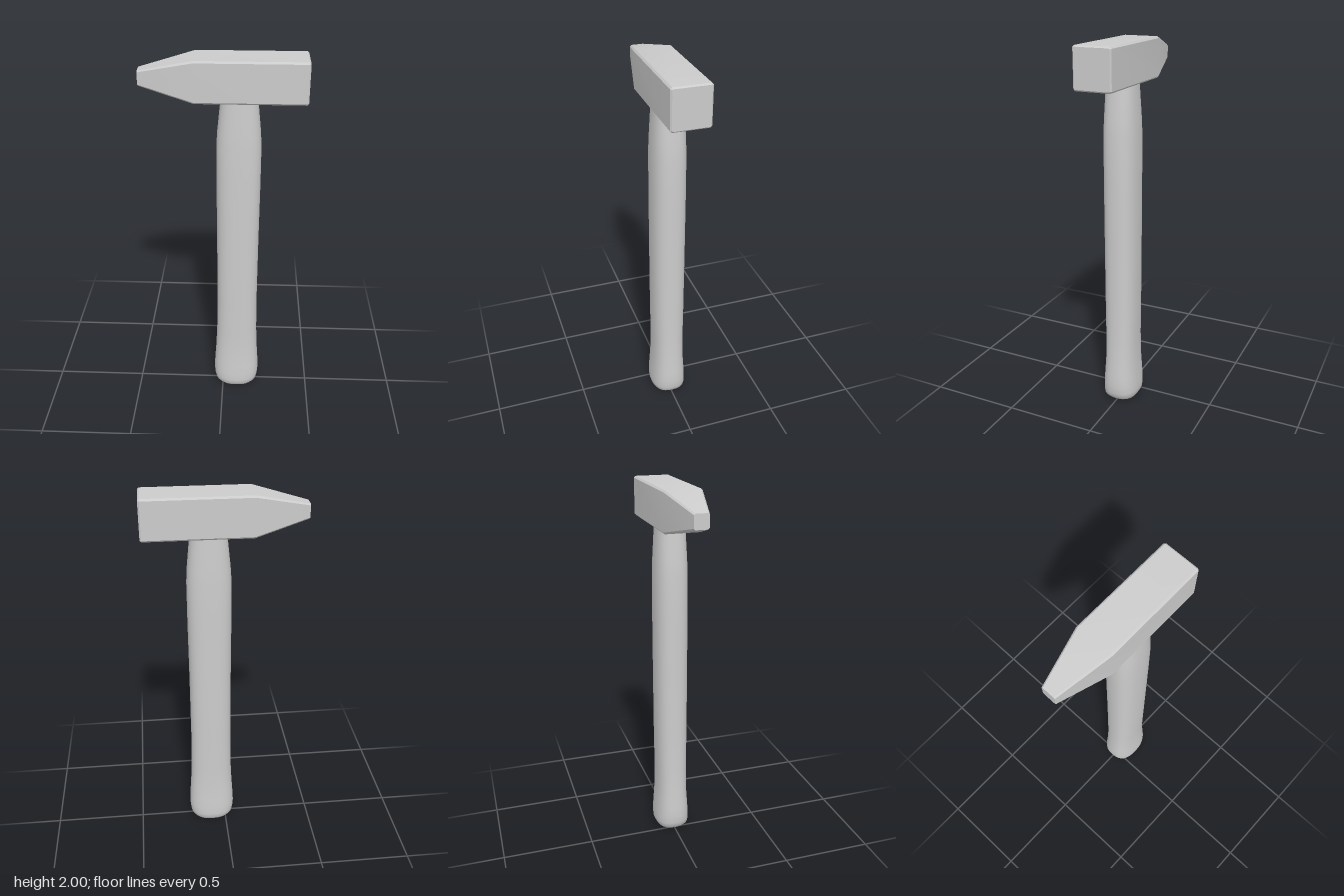
import * as THREE from 'three';
import { toCreasedNormals } from 'three/addons/utils/BufferGeometryUtils.js';

const material = new THREE.MeshStandardMaterial({ color: 0xcccccc });

// Skin a list of rings (counter-clockwise about the sweep direction) and cap both ends
function loft(rings, crease) {
  const n = rings[0].length;
  const points = rings.flat();
  const index = [];
  for (let i = 0; i < rings.length - 1; i++) {
    for (let j = 0; j < n; j++) {
      const k = (j + 1) % n;
      const a = i * n + j, b = i * n + k, c = b + n, d = a + n;
      index.push(a, b, c, a, c, d);
    }
  }
  const last = (rings.length - 1) * n;
  for (let j = 1; j < n - 1; j++) {
    index.push(0, j + 1, j, last, last + j, last + j + 1);
  }
  const geometry = new THREE.BufferGeometry().setFromPoints(points);
  geometry.setIndex(index);
  return toCreasedNormals(geometry, crease);
}

// Rectangle with chamfered corners, standing across the x axis
function headRing([x, halfY, halfZ, chamfer]) {
  const y = halfY - chamfer, z = halfZ - chamfer;
  return [
    [halfY, -z], [halfY, z], [y, halfZ], [-y, halfZ],
    [-halfY, z], [-halfY, -z], [-y, -halfZ], [y, -halfZ],
  ].map(([py, pz]) => new THREE.Vector3(x, py, pz));
}

// Squarish oval, lying across the y axis
function handleRing([y, halfX, halfZ]) {
  const sides = 32, power = 2 / 2.5;
  const bulge = (v) => Math.sign(v) * Math.abs(v) ** power;
  return Array.from({ length: sides }, (_, j) => {
    const t = (j / sides) * Math.PI * 2;
    return new THREE.Vector3(halfX * bulge(Math.sin(t)), y, halfZ * bulge(Math.cos(t)));
  });
}

export function createModel() {
  const model = new THREE.Group();
  model.name = 'hammer';

  // Head: tapered peen on -x, square striking face on +x
  const headSections = [
    // x, half height, half depth, chamfer
    [-0.415, 0.037, 0.038, 0.007],
    [-0.14, 0.105, 0.1, 0.009],
    [0.405, 0.105, 0.1, 0.009],
    [0.413, 0.098, 0.093, 0.004],
  ];
  const head = new THREE.Mesh(loft(headSections.map(headRing), 0.5), material);
  head.name = 'head';
  head.position.y = 1.895;
  model.add(head);

  // Handle: slim neck, straight grip, flared and rounded butt
  const handleSections = [
    // y, half width, half depth
    [0, 0.085, 0.072],
    [0.01, 0.1, 0.084],
    [0.03, 0.12, 0.096],
    [0.055, 0.126, 0.098],
    [0.1, 0.13, 0.096],
    [0.16, 0.127, 0.092],
    [0.25, 0.121, 0.086],
    [0.38, 0.115, 0.085],
    [0.6, 0.112, 0.088],
    [1.0, 0.113, 0.089],
    [1.3, 0.115, 0.089],
    [1.54, 0.115, 0.088],
    [1.62, 0.11, 0.085],
    [1.7, 0.102, 0.081],
    [1.8, 0.092, 0.076],
  ];
  const handle = new THREE.Mesh(loft(handleSections.map(handleRing), 1.0), material);
  handle.name = 'handle';
  handle.position.x = 0.079;
  model.add(handle);

  return model;
}
